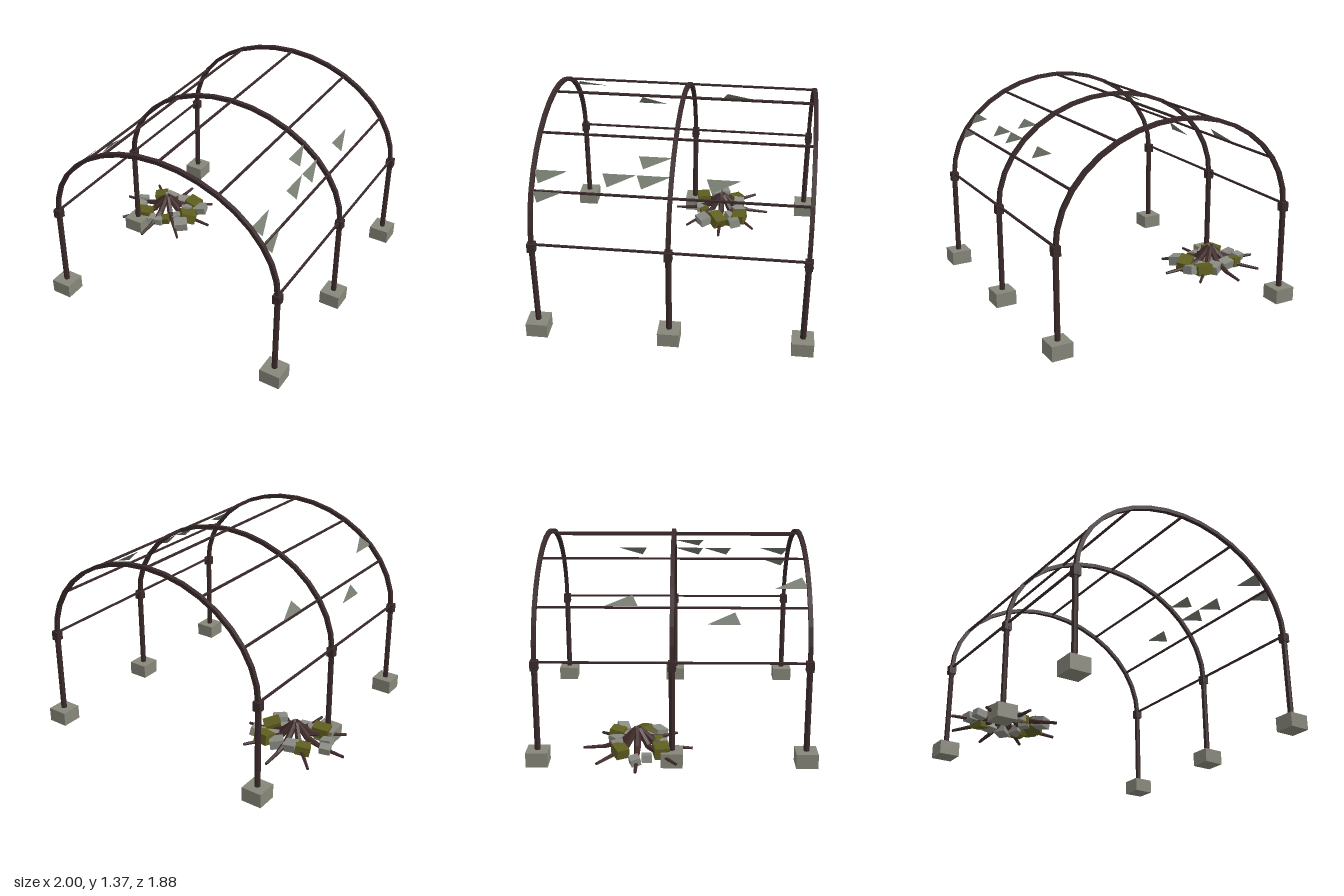
import * as THREE from 'three';

const mat = (name, color, side = THREE.FrontSide) => {
  const m = new THREE.MeshStandardMaterial({ color, side, flatShading: true });
  m.name = name;
  return m;
};

const V = (x, y, z) => new THREE.Vector3(x, y, z);

export function createModel() {
  const root = new THREE.Group();
  root.name = 'ruinedGreenhouseFrame';
  const iron = mat('darkIron', 0x3a2a2b);
  const concrete = mat('concrete', 0x86867a);
  const stone = mat('greyStone', 0x8a8c84);
  const moss = mat('mossyStone', 0x5f5e1f);
  const glass = mat('dustyGlass', 0x757a6e, THREE.DoubleSide);
  const wood = mat('deadWood', 0x412d2b);

  const add = (parent, name, geo, material, pos) => {
    const m = new THREE.Mesh(geo, material);
    m.name = name;
    if (pos) m.position.copy(pos);
    parent.add(m);
    return m;
  };
  // Lays a part whose long axis is y from point a to point b
  const span = (parent, name, geo, material, a, b) => {
    const m = add(parent, name, geo, material, a.clone().add(b).multiplyScalar(0.5));
    m.quaternion.setFromUnitVectors(V(0, 1, 0), b.clone().sub(a).normalize());
    return m;
  };
  const group = (name) => {
    const g = new THREE.Group();
    g.name = name;
    root.add(g);
    return g;
  };

  // Elliptical arch line; angle in degrees from the left (+x) springing
  const CX = 0.0865, RX = 0.837, SPRING = 0.68, RY = 0.682;
  const archPoint = (deg, z) => {
    const t = THREE.MathUtils.degToRad(deg);
    return V(CX + RX * Math.cos(t), SPRING + RY * Math.sin(t), z);
  };

  // Three identical hoops on posts and footings
  for (const z of [0.87, 0, -0.87]) {
    const hoop = group('hoop');
    for (const s of [-1, 1]) {
      const x = CX + s * RX;
      add(hoop, 'footing', new THREE.BoxGeometry(0.142, 0.098, 0.142), concrete, V(x, 0.05, z));
      add(hoop, 'post', new THREE.CylinderGeometry(0.0195, 0.0195, 0.59, 8), iron, V(x, 0.385, z));
      add(hoop, 'collar', new THREE.BoxGeometry(0.05, 0.064, 0.05), iron, V(x, 0.672, z));
      const bolt = add(hoop, 'bolt', new THREE.CylinderGeometry(0.005, 0.005, 0.06, 6), iron, V(x, 0.657, z));
      bolt.rotation.x = Math.PI / 2;
    }
    for (let d = 0; d < 180; d += 10) {
      const a = archPoint(d, z), b = archPoint(d + 10, z);
      span(hoop, 'archSegment', new THREE.BoxGeometry(0.026, a.distanceTo(b) + 0.004, 0.028), iron, a, b);
    }
  }

  // Seven purlins running the length of the frame
  const purlins = group('purlins');
  for (let d = 0; d <= 180; d += 30) {
    const p = archPoint(d, 0);
    if (d % 180 === 0) p.y += 0.012;
    add(purlins, 'purlin', new THREE.BoxGeometry(0.013, 0.013, 1.74), iron, p);
  }

  // Broken panes: upper edge x, y, then tip x, y, and the front end in z
  const shards = group('glassShards');
  const panes = [
    [0.73, 1.125, 0.787, 1.06, -0.217], [0.73, 1.125, 0.787, 1.06, 0.217],
    [0.73, 1.125, 0.787, 1.06, 0.432], [0.73, 1.125, 0.787, 1.06, 0.865],
    [0.63, 1.205, 0.695, 1.15, 0.217], [0.812, 1.03, 0.853, 0.96, 0.865],
    [-0.698, 0.928, -0.655, 0.997, 0.432], [-0.555, 1.125, -0.483, 1.183, 0.865],
    [-0.638, 1.03, -0.58, 1.09, -0.217],
  ];
  for (const [x, y, tx, ty, z] of panes) {
    const g = new THREE.BufferGeometry();
    const pts = [V(x, y, z), V(x, y, z - 0.213), V(tx, ty, z - 0.035)];
    // Keep the face turned to the outside of the vault
    const n = pts[1].clone().sub(pts[0]).cross(pts[2].clone().sub(pts[0]));
    if (n.y < 0) pts.reverse();
    g.setFromPoints(pts);
    g.computeVertexNormals();
    add(shards, 'glassShard', g, glass);
  }

  // Dead stump with eight spreading roots
  const heap = group('stumpAndRubble');
  heap.position.set(-0.625, 0, -0.225);
  for (let i = 0; i < 8; i++) {
    const a = (i * Math.PI) / 4;
    const reach = i % 4 === 0 ? 0.373 : 0.358;
    const at = (r, y) => V(Math.cos(a) * r, y, Math.sin(a) * r);
    const path = [at(0.012, 0.19), at(0.1, 0.1), at(0.22, 0.066 + (i % 2) * 0.008), at(reach, 0.056)];
    const radii = [0.02, 0.023, 0.014, 0.0095];
    for (let k = 0; k < 3; k++) {
      const len = path[k].distanceTo(path[k + 1]) + 0.006;
      span(heap, 'root', new THREE.CylinderGeometry(radii[k + 1], radii[k], len, 6), wood, path[k], path[k + 1]);
    }
  }

  // Tumbled stones: x, z, height of centre, size, turn, mossy or not
  const stones = [
    [-0.125, -0.11, 0.09, 0.1, 0.5, 1], [0.155, -0.145, 0.095, 0.11, -0.2, 1],
    [0.2, 0.025, 0.09, 0.115, 0.7, 1], [-0.115, 0.155, 0.09, 0.115, 0.2, 1],
    [0.06, 0.135, 0.08, 0.075, 0.4, 1], [-0.05, -0.13, 0.095, 0.09, 0.1, 0],
    [0.06, -0.14, 0.085, 0.095, 0.6, 0], [0.235, -0.11, 0.095, 0.09, 0.3, 0],
    [-0.24, -0.01, 0.075, 0.075, 0.3, 0], [-0.21, 0.065, 0.08, 0.075, 0.1, 0],
    [0.205, 0.13, 0.085, 0.1, 0.6, 0], [0.115, 0.06, 0.08, 0.075, 0.9, 0],
    [0.02, 0.165, 0.075, 0.075, 0.2, 0], [-0.045, 0.17, 0.075, 0.07, 0.8, 0],
    [0.13, -0.075, 0.08, 0.08, 0.5, 0], [0.19, -0.07, 0.075, 0.08, 1.1, 1],
  ];
  stones.forEach(([x, z, y, s, turn, mossy], i) => {
    const geo = new THREE.BoxGeometry(s, s * 0.65, s * 0.85);
    const m = add(heap, mossy ? 'mossyStone' : 'greyStone', geo, mossy ? moss : stone, V(x, y, z));
    m.rotation.set(0.2 * Math.sin(i * 2.1), turn, 0.2 * Math.cos(i * 1.7));
  });

  return root;
}
